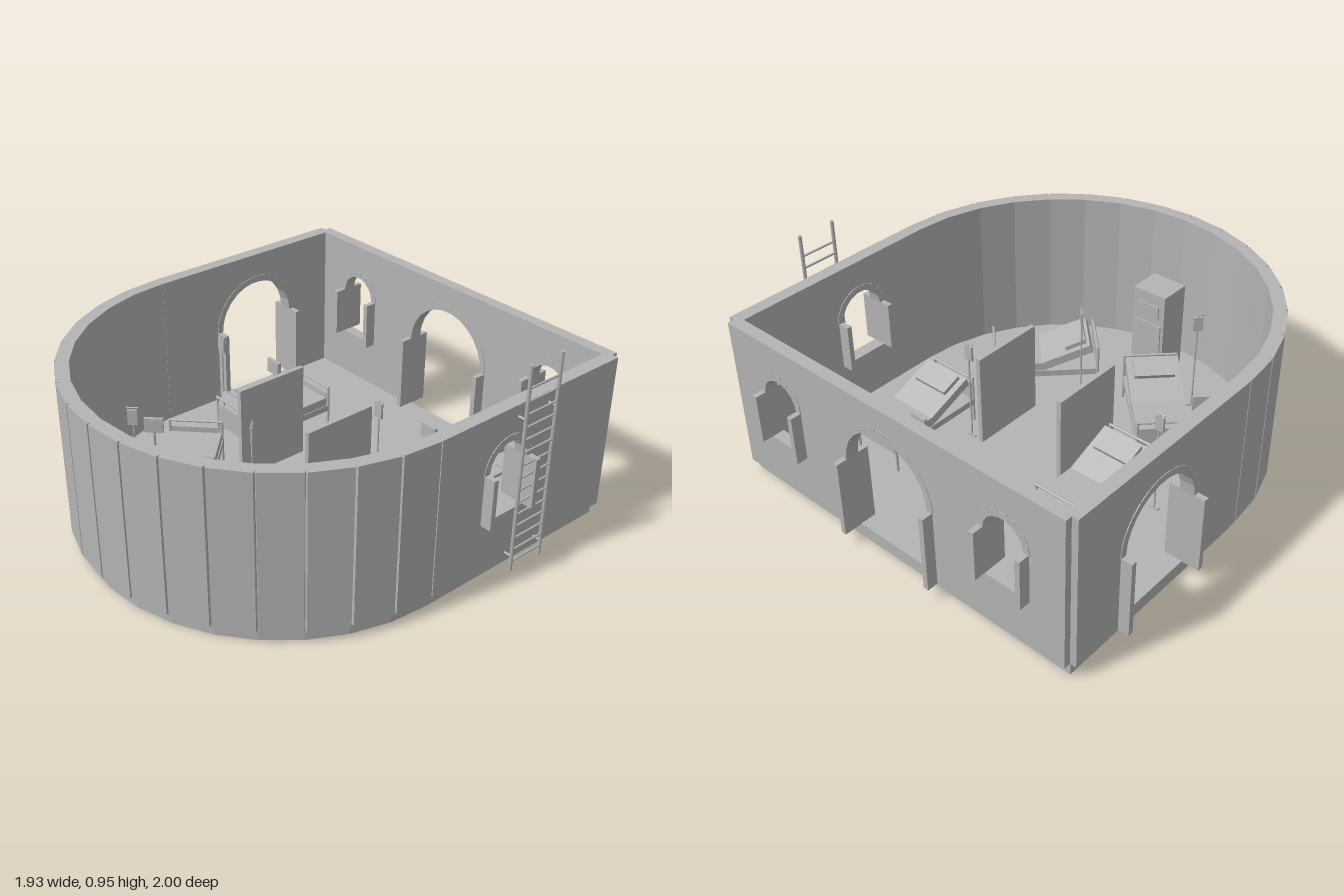
import * as THREE from 'three';

const grey = new THREE.MeshStandardMaterial({ color: 0xb4b4b4 });
grey.name = 'stone grey';
const BASE = 0.06, TOP = 0.767, CZ = 0.083, R = 0.914;

function add(parent, name, geo, x = 0, y = 0, z = 0) {
  const m = new THREE.Mesh(geo, grey);
  m.name = name;
  m.position.set(x, y, z);
  parent.add(m);
  return m;
}

// box given by its lower and upper corners
function box(parent, name, x0, x1, y0, y1, z0, z1) {
  return add(parent, name, new THREE.BoxGeometry(x1 - x0, y1 - y0, z1 - z0),
    (x0 + x1) / 2, (y0 + y1) / 2, (z0 + z1) / 2);
}

function rod(parent, name, a, b, r, sides = 8) {
  const path = new THREE.LineCurve3(new THREE.Vector3(...a), new THREE.Vector3(...b));
  const m = add(parent, name, new THREE.CylinderGeometry(r, r, path.getLength(), sides));
  m.position.copy(path.getPoint(0.5));
  m.quaternion.setFromUnitVectors(new THREE.Vector3(0, 1, 0), path.getTangent(0));
  return m;
}

// upright slab from a plan outline of [x, z] points
function slab(parent, name, plan, y0, y1) {
  const shape = new THREE.Shape(plan.map(([x, z]) => new THREE.Vector2(x, -z)));
  const geo = new THREE.ExtrudeGeometry(shape, { depth: y1 - y0, bevelEnabled: false });
  geo.rotateX(-Math.PI / 2);
  return add(parent, name, geo, 0, y0, 0);
}

const polar = (r, a) => [r * Math.sin(a), CZ + r * Math.cos(a)];

// straight wall with arched openings; local +z points outward
function archedWall(parent, name, u0, u1, thick, dist, turn, openings) {
  const g = new THREE.Group();
  g.name = name;
  g.rotation.y = turn;
  parent.add(g);
  const shape = new THREE.Shape();
  shape.moveTo(u0, BASE);
  for (const { c, r, sill, spring } of openings) {
    const door = sill <= BASE;
    const p = door ? shape : new THREE.Path();
    if (door) p.lineTo(c - r, sill); else p.moveTo(c - r, sill);
    p.lineTo(c - r, spring);
    p.absarc(c, spring, r, Math.PI, 0, true);
    p.lineTo(c + r, sill);
    if (!door) { p.closePath(); shape.holes.push(p); }
  }
  shape.lineTo(u1, BASE);
  shape.lineTo(u1, TOP);
  shape.lineTo(u0, TOP);
  add(g, 'wallPanel', new THREE.ExtrudeGeometry(shape,
    { depth: thick, bevelEnabled: false, curveSegments: 16 }), 0, 0, dist - thick);
  for (const { c, r, sill, spring } of openings) {
    for (const s of [-1, 1])
      box(g, 'jamb', c + s * r - 0.012, c + s * r + 0.012, sill, spring, dist - thick - 0.053, dist + 0.05);
    // arch stones
    const n = r > 0.15 ? 13 : 9;
    for (let i = 0; i < n; i++) {
      const a = Math.PI * (i + 0.5) / n;
      const stone = add(g, 'archStone', new THREE.BoxGeometry(0.03, r * Math.PI / n * 1.02, thick + 0.006),
        c + r * Math.cos(a), spring + r * Math.sin(a), dist - thick / 2);
      stone.rotation.z = a;
    }
  }
}

// bed with raised head end (+z), its drip stand and its monitor stand
function bed(parent, x, z, turn) {
  const g = new THREE.Group();
  g.name = 'bedStation';
  g.position.set(x, 0, z);
  g.rotation.y = turn;
  parent.add(g);
  box(g, 'bedFrame', -0.122, 0.122, 0.15, 0.18, -0.23, 0.23);
  box(g, 'mattressFoot', -0.118, 0.118, 0.18, 0.22, -0.222, -0.01);
  const back = new THREE.Group();
  back.name = 'raisedHead';
  back.position.set(0, 0.18, -0.015);
  back.rotation.x = -0.38;
  g.add(back);
  box(back, 'mattressHead', -0.118, 0.118, 0, 0.04, 0, 0.245);
  box(back, 'pillow', -0.09, 0.09, 0.04, 0.06, 0.13, 0.23);
  for (const s of [-1, 1]) {
    const zr = s * 0.235, h = s > 0 ? 0.29 : 0.27;
    box(g, 'endBoard', -0.11, 0.11, 0.15, h - 0.03, zr - 0.004, zr + 0.004);
    rod(g, 'endRail', [-0.122, h, zr], [0.122, h, zr], 0.006);
    for (const t of [-1, 1]) rod(g, 'bedPost', [t * 0.118, BASE, zr], [t * 0.118, h, zr], 0.006);
  }
  // drip stand
  rod(g, 'dripPole', [-0.187, BASE, 0.15], [-0.187, 0.55, 0.15], 0.004);
  box(g, 'dripFoot', -0.21, -0.164, BASE, 0.07, 0.143, 0.157);
  rod(g, 'dripHook', [-0.212, 0.55, 0.15], [-0.162, 0.55, 0.15], 0.003);
  box(g, 'dripBag', -0.21, -0.168, 0.47, 0.54, 0.145, 0.155);
  // monitor stand
  rod(g, 'monitorPole', [-0.17, BASE, -0.14], [-0.17, 0.27, -0.14], 0.006);
  add(g, 'monitorFoot', new THREE.CylinderGeometry(0.02, 0.025, 0.015, 10), -0.17, BASE + 0.007, -0.14);
  box(g, 'monitor', -0.213, -0.127, 0.26, 0.33, -0.149, -0.134);
  box(g, 'monitorScreen', -0.205, -0.135, 0.268, 0.322, -0.134, -0.131);
}

export function createModel() {
  const room = new THREE.Group();
  room.name = 'infirmaryRoom';

  // D-shaped floor
  const plan = [[0.885, -0.917], [-0.885, -0.917]];
  for (let i = 0; i <= 16; i++) plan.push(polar(0.885, -Math.PI / 2 + Math.PI * i / 16));
  slab(room, 'floor', plan, 0, BASE + 0.002);

  // curved front wall in sixteen staves with open outer joints
  const gap = 0.005;
  for (let i = 0; i < 16; i++) {
    const a = -Math.PI / 2 + Math.PI * i / 16, b = a + Math.PI / 16;
    slab(room, 'wallStave', [polar(0.855, a), polar(0.855, b), polar(R - 0.018, b),
      polar(R, b - gap), polar(R, a + gap), polar(R - 0.018, a)], BASE, TOP);
  }

  // straight walls
  const win = (c, r) => ({ c, r, sill: 0.285, spring: 0.512 });
  const door = (c, r) => ({ c, r, sill: BASE, spring: 0.42 });
  archedWall(room, 'backWall', -0.885, 0.885, 0.055, 0.95, Math.PI,
    [win(-0.602, 0.109), door(0, 0.235), win(0.602, 0.109)]);
  archedWall(room, 'leftWall', -CZ, 0.92, 0.06, R, Math.PI / 2, [win(0.295, 0.12)]);
  archedWall(room, 'rightWall', -0.92, CZ, 0.06, R, -Math.PI / 2, [door(-0.45, 0.22)]);

  // ladder outside the left wall
  const ladder = new THREE.Group();
  ladder.name = 'ladder';
  room.add(ladder);
  for (const z of [-0.328, -0.502]) {
    rod(ladder, 'ladderRail', [0.95, 0.012, z], [0.95, 0.948, z], 0.008);
    for (const y of [0.08, 0.715]) rod(ladder, 'ladderBracket', [0.91, y, z], [0.95, y, z], 0.005);
  }
  for (let i = 0; i < 15; i++)
    rod(ladder, 'rung', [0.95, 0.055 + i * 0.0567, -0.328], [0.95, 0.055 + i * 0.0567, -0.502], 0.005);

  // beds
  bed(room, -0.43, -0.215, 0);
  bed(room, 0.47, -0.357, 0);
  bed(room, -0.297, 0.371, Math.PI / 4);
  bed(room, 0.33, 0.34, -Math.PI / 4);

  // partitions
  for (const x of [-0.227, 0.222])
    box(room, 'partition', x - 0.011, x + 0.011, BASE, 0.5, -0.215, 0.135);

  // cabinet
  box(room, 'cabinet', -0.09, 0.085, 0.075, 0.5, 0.685, 0.84);
  box(room, 'cabinetPanel', -0.06, 0.055, 0.38, 0.44, 0.678, 0.685);
  box(room, 'cabinetDoor', -0.075, 0.07, 0.1, 0.34, 0.678, 0.685);
  for (const x of [-0.075, 0.07]) for (const z of [0.69, 0.84])
    add(room, 'cabinetFoot', new THREE.CylinderGeometry(0.01, 0.01, 0.02, 8), x, 0.07, z);

  // desk with screen and keyboard
  box(room, 'deskTop', 0.508, 0.665, 0.225, 0.24, -0.885, -0.495);
  for (const z of [-0.88, -0.515]) box(room, 'deskLeg', 0.515, 0.658, BASE, 0.225, z, z + 0.015);
  box(room, 'deskScreen', 0.545, 0.556, 0.265, 0.36, -0.76, -0.615);
  box(room, 'screenStand', 0.54, 0.56, 0.24, 0.27, -0.705, -0.67);
  box(room, 'keyboard', 0.613, 0.655, 0.24, 0.247, -0.72, -0.588);
  return room;
}
